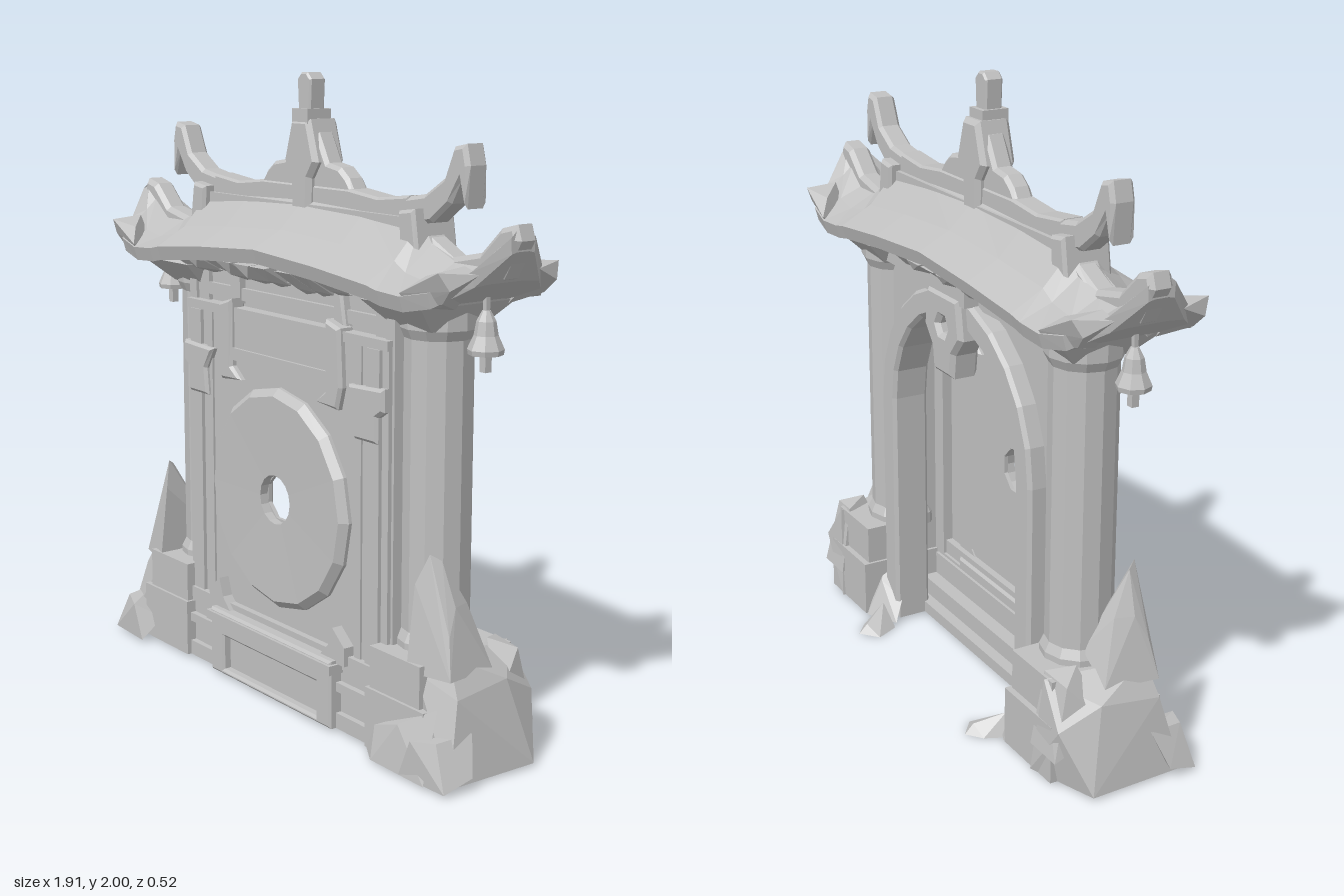
import * as THREE from 'three';
import { ConvexGeometry } from 'three/addons/geometries/ConvexGeometry.js';

const stone = new THREE.MeshStandardMaterial({ color: 0xc0c0c0, flatShading: true, side: THREE.DoubleSide });
stone.name = 'grey stone';

export function createModel() {
  const root = new THREE.Group();
  root.name = 'temple gate';
  let seed = 7;
  const rnd = () => (seed = (seed * 16807) % 2147483647) / 2147483647;

  const add = (name, geo) => {
    const m = new THREE.Mesh(geo, stone);
    m.name = name;
    root.add(m);
    return m;
  };
  // Box given by its limits on each axis
  const box = (name, x0, x1, y0, y1, z0, z1) => {
    const m = add(name, new THREE.BoxGeometry(Math.abs(x1 - x0), y1 - y0, z1 - z0));
    m.position.set((x0 + x1) / 2, (y0 + y1) / 2, (z0 + z1) / 2);
    return m;
  };
  // Front-plane outline extruded from z0 to z1, with optional chamfer
  const ext = (name, pts, z0, z1, bevel = 0, holes = []) => {
    const v = p => p.map(([x, y]) => new THREE.Vector2(x, y));
    const shape = new THREE.Shape(v(pts));
    holes.forEach(h => shape.holes.push(new THREE.Path(v(h))));
    const g = new THREE.ExtrudeGeometry(shape, {
      depth: z1 - z0 - 2 * bevel, bevelEnabled: bevel > 0, bevelSegments: 1,
      bevelThickness: bevel, bevelSize: bevel, bevelOffset: -bevel, steps: 1,
    });
    g.translate(0, 0, z0 + bevel);
    return add(name, g);
  };
  // Faceted convex block; faces lying on the ground are left open
  const hull = (name, pts) => {
    const p = new ConvexGeometry(pts.map(q => new THREE.Vector3(...q))).attributes.position.array;
    const keep = [];
    for (let i = 0; i < p.length; i += 9)
      if (Math.max(p[i + 1], p[i + 4], p[i + 7]) > 0.015) keep.push(...p.slice(i, i + 9));
    const g = new THREE.BufferGeometry();
    g.setAttribute('position', new THREE.Float32BufferAttribute(keep, 3));
    g.computeVertexNormals();
    return add(name, g);
  };
  const lathe = (name, pts, sides) => add(name, new THREE.LatheGeometry(pts.map(p => new THREE.Vector2(...p)), sides));
  const ring = (cx, cy, r, n, a0 = 0) => Array.from({ length: n }, (_, i) => {
    const a = a0 + i / n * Math.PI * 2;
    return [cx + r * Math.cos(a), cy + r * Math.sin(a)];
  });
  const rect = (x, y0, y1) => [[-x, y0], [x, y0], [x, y1], [-x, y1]];
  const mirror = fn => [1, -1].forEach(fn);

  // Thin front wall and round door disc, pierced by one hole
  ext('wall', rect(0.53, 0.01, 1.24), 0.135, 0.148, 0, [ring(0, 0.67, 0.08, 8, Math.PI / 8)]);
  box('upperWall', -0.53, 0.53, 1.22, 1.4, 0.095, 0.11);
  const disc = lathe('doorDisc', [[0.08, 0.137], [0.36, 0.137], [0.36, 0.16], [0.336, 0.183], [0.08, 0.177],
    [0.08, 0.137]], 16);
  disc.rotation.x = Math.PI / 2;
  disc.position.y = 0.667;

  // Arched opening at the back
  const arch = r => Array.from({ length: 13 }, (_, i) => {
    const t = Math.PI * i / 12;
    return [r * Math.cos(t), 0.84 + r * Math.sin(t)];
  });
  ext('archWall', [[-0.56, 0.01], [-0.56, 1.4], [0.56, 1.4], [0.56, 0.01], [0.46, 0.01],
    ...arch(0.46), [-0.46, 0.01]], -0.05, 0.01);
  ext('archFrame', [[0.49, 0.01], ...arch(0.49), [-0.49, 0.01], [-0.4, 0.01],
    ...arch(0.4).reverse(), [0.4, 0.01]], -0.11, 0.02, 0.012);
  ext('keystone', [[-0.06, 1.06], [0.06, 1.06], [0.07, 1.14], [0.12, 1.2], [0.1, 1.33],
    [-0.1, 1.33], [-0.12, 1.2], [-0.07, 1.14]], -0.14, -0.04, 0.015, [ring(0, 1.22, 0.03, 6)]);
  box('keystoneCap', -0.13, 0.13, 1.31, 1.37, -0.13, -0.02);

  // Base, front step with sunken panel, inner steps
  box('floor', -0.6, 0.6, 0.01, 0.05, 0, 0.16);
  ext('frontStep', rect(0.33, 0.01, 0.23), 0.1, 0.21, 0.008, [rect(0.255, 0.03, 0.145)]);
  box('stepPanel', -0.27, 0.27, 0.02, 0.16, 0.1, 0.18);
  box('stepCap', -0.34, 0.34, 0.19, 0.22, 0.12, 0.22);
  box('innerStepLow', -0.48, 0.48, 0.01, 0.11, 0.04, 0.14);
  box('innerStepHigh', -0.48, 0.48, 0.01, 0.19, 0.09, 0.14);
  box('baseRail', -0.53, 0.53, 0.2, 0.25, 0.11, 0.17);

  // Lintel beams across the front
  box('lintelLow', -0.27, 0.27, 1.08, 1.12, 0.125, 0.165);
  box('lintelPanel', -0.27, 0.27, 1.12, 1.24, 0.125, 0.155);
  box('lintelShelf', -0.53, 0.53, 1.22, 1.25, 0.1, 0.155);
  box('lintelMiddle', -0.53, 0.53, 1.27, 1.31, 0.08, 0.125);
  box('lintelTop', -0.55, 0.55, 1.36, 1.42, -0.1, 0.135);
  box('backBeam', -0.56, 0.56, 1.3, 1.36, -0.08, 0);

  mirror(s => {
    // Side rails, lower panels and plinth
    box('innerStrip', s * 0.38, s * 0.41, 0.25, 1.22, 0.135, 0.155);
    box('sideRail', s * 0.44, s * 0.5, 0.2, 1.22, 0.1, 0.16);
    box('upperRail', s * 0.44, s * 0.5, 1.22, 1.36, 0.08, 0.125);
    box('outerStrip', s * 0.5, s * 0.54, 0.2, 1.36, 0, 0.135);
    box('sidePanel', s * 0.32, s * 0.52, 0.01, 0.2, 0.1, 0.165);
    box('sidePanelTop', s * 0.32, s * 0.52, 0.13, 0.16, 0.1, 0.185);
    box('sidePanelFoot', s * 0.32, s * 0.52, 0.01, 0.06, 0.1, 0.185);
    const block = (name, x0, x1, y1, z0, z1) => hull(name, [x0, x1].flatMap(x => [0.01, y1].flatMap(y =>
      [z0, z1].map(z => [s * x, y, z]))));
    block('plinth', 0.5, 0.73, 0.33, -0.17, 0.19);
    block('plinthFoot', 0.49, 0.76, 0.2, -0.19, 0.2);
    ext('stepScroll', [[s * 0.24, 0.22], [s * 0.37, 0.22], [s * 0.37, 0.28], [s * 0.31, 0.33], [s * 0.29, 0.27]], 0.13, 0.185);

    // Pillar with flared capital
    const pillar = lathe('pillar', [[0, 0.31], [0.12, 0.31], [0.12, 0.35], [0.105, 0.38], [0.105, 1.26],
      [0.12, 1.29], [0.12, 1.42], [0, 1.42]], 12);
    pillar.position.set(s * 0.59, 0, 0.01);
    hull('capital', [[0.5, 1.29, -0.08], [0.67, 1.29, -0.08], [0.5, 1.29, 0.11], [0.67, 1.29, 0.11],
      [0.46, 1.37, -0.16], [0.73, 1.37, -0.16], [0.46, 1.37, 0.2], [0.73, 1.37, 0.2], [0.48, 1.41, -0.12],
      [0.74, 1.41, 0.14]].map(([x, y, z]) => [s * x, y, z]));

    // Hanging brackets under the lintel
    ext('bracketLarge', [[s * 0.25, 1.28], [s * 0.25, 1.06], [s * 0.2, 1.02], [s * 0.31, 1.01], [s * 0.33, 1.08],
      [s * 0.32, 1.26]], 0.11, 0.172, 0.01);
    ext('bracketStem', [[s * 0.25, 1.26], [s * 0.31, 1.26], [s * 0.29, 1.37], [s * 0.25, 1.37]], 0.09, 0.14, 0.008);
    ext('bracketSmall', [[s * 0.36, 1.1], [s * 0.4, 1.03], [s * 0.39, 0.94], [s * 0.5, 0.94], [s * 0.5, 1.02],
      [s * 0.53, 1.04], [s * 0.53, 1.11]], 0.1, 0.172, 0.01);

    // Ridge horn, gable block and slim ridge along the roof end
    ext('ridgeHorn', [[s * 0.45, 1.65], [s * 0.57, 1.67], [s * 0.65, 1.72], [s * 0.69, 1.81], [s * 0.74, 1.82],
      [s * 0.755, 1.76], [s * 0.745, 1.64], [s * 0.72, 1.72], [s * 0.68, 1.65], [s * 0.6, 1.59], [s * 0.45, 1.57]],
      -0.02, 0.06, 0.012);
    ext('eaveHorn', [[s * 0.56, 1.56], [s * 0.68, 1.5], [s * 0.8, 1.525], [s * 0.88, 1.6], [s * 0.94, 1.615],
      [s * 0.955, 1.57], [s * 0.89, 1.46], [s * 0.78, 1.4], [s * 0.68, 1.4], [s * 0.56, 1.44]], -0.025, 0.055, 0.015);
    ext('gableBlock', [[s * 0.51, 1.5], [s * 0.5, 1.62], [s * 0.57, 1.63], [s * 0.59, 1.5]], -0.06, 0.1, 0.01);

    // Blunt upturned roof corners
    mirror(t => hull('roofCorner', [[0.7, 1.42, 0.235], [0.72, 1.38, 0.21], [0.76, 1.47, 0.19], [0.85, 1.49, 0.225],
      [0.87, 1.44, 0.2], [0.83, 1.4, 0.19], [0.89, 1.48, 0.11], [0.78, 1.37, 0.1], [0.84, 1.5, 0.12]]
      .map(([x, y, z]) => [s * x, y, 0.02 + t * z])));

    // Bell hung from the eave end
    const bell = lathe('bell', [[0, 0.01], [0.05, 0.005], [0.053, 0.02], [0.035, 0.06], [0.028, 0.1], [0.012, 0.13],
      [0, 0.13]], 8);
    bell.position.set(s * 0.81, 1.235, 0.03);
    box('bellClapper', s * 0.81 - 0.012, s * 0.81 + 0.012, 1.19, 1.24, 0.018, 0.042);
    box('bellHanger', s * 0.81 - 0.007, s * 0.81 + 0.007, 1.35, 1.42, 0.023, 0.037);

    // Rocks heaped around the plinth
    const rock = (...pts) => hull('rock', pts.map(([x, y, z]) => [s * x, y, z]));
    rock([0.66, 0.01, 0.15], [0.88, 0.01, 0.2], [0.89, 0.01, -0.12], [0.66, 0.01, -0.2], [0.84, 0.25, 0.14],
      [0.83, 0.27, -0.06], [0.78, 0.36, 0.12], [0.7, 0.33, -0.18], [0.8, 0.2, -0.19], [0.69, 0.3, 0.17]);
    rock([0.67, 0.3, 0.19], [0.82, 0.3, 0.15], [0.8, 0.3, -0.03], [0.7, 0.65, 0.13], [0.72, 0.63, 0.1],
      [0.67, 0.56, 0.16], [0.77, 0.5, 0.09], [0.75, 0.5, 0.03], [0.79, 0.42, 0.13], [0.67, 0.38, -0.03]);
    rock([0.71, 0.01, 0.25], [0.9, 0.01, 0.24], [0.91, 0.04, 0.14], [0.84, 0.14, 0.22], [0.76, 0.13, 0.25],
      [0.86, 0.15, 0.1], [0.7, 0.08, 0.17]);
    rock([0.67, 0.2, -0.02], [0.83, 0.2, -0.03], [0.72, 0.36, -0.08], [0.78, 0.33, -0.15], [0.67, 0.34, -0.16],
      [0.8, 0.1, -0.2], [0.66, 0.1, -0.2]);
    rock([0.37, 0.01, -0.13], [0.48, 0.01, -0.19], [0.56, 0.01, -0.12], [0.48, 0.13, -0.13], [0.4, 0.08, -0.09],
      [0.52, 0.18, -0.1]);
    rock([0.32, 0, -0.22], [0.38, 0, -0.27], [0.43, 0, -0.23], [0.48, 0, -0.12], [0.36, 0, -0.14], [0.38, 0.03, -0.24],
      [0.43, 0.07, -0.15]);
  });
  // Extra rocks at the front left corner
  hull('rock', [[0.5, 0.01, 0.2], [0.58, 0.01, 0.25], [0.82, 0.01, 0.25], [0.55, 0.1, 0.21], [0.68, 0.15, 0.23],
    [0.8, 0.22, 0.18], [0.74, 0.2, 0.16], [0.6, 0.05, 0.16]]);

  // Roof lofted along x: [x, ridge height, eave height, half depth]
  const half = [[0, 1.62, 1.47, 0.235], [0.3, 1.61, 1.45, 0.235], [0.55, 1.59, 1.425, 0.235],
    [0.6, 1.53, 1.415, 0.235], [0.7, 1.49, 1.41, 0.235], [0.8, 1.49, 1.43, 0.22], [0.88, 1.55, 1.49, 0.13],
    [0.94, 1.6, 1.58, 0.045]];
  const sections = [...half.slice(1).reverse().map(([x, ...r]) => [-x, ...r]), ...half];
  const pos = [], idx = [], N = 10;
  sections.forEach(([x, yr, ye, d]) => {
    const side = [[Math.min(0.03, d * 0.5), yr], [d * 0.55, ye + (yr - ye) * 0.36], [d, ye], [d * 0.94, ye - 0.045],
      [d * 0.5, ye - 0.04]];
    side.forEach(([z, y]) => pos.push(x, y, 0.02 + z));
    side.reverse().forEach(([z, y]) => pos.push(x, y, 0.02 - z));
  });
  for (let i = 0; i < sections.length - 1; i++) for (let j = 0; j < N; j++) {
    const a = i * N + j, b = i * N + (j + 1) % N;
    idx.push(a, b, b + N, a, b + N, a + N);
  }
  const last = (sections.length - 1) * N;
  for (let j = 1; j < N - 1; j++) idx.push(0, j + 1, j, last, last + j, last + j + 1);
  const roof = new THREE.BufferGeometry();
  roof.setAttribute('position', new THREE.Float32BufferAttribute(pos, 3));
  roof.setIndex(idx);
  roof.computeVertexNormals();
  add('roof', roof);

  // Ridge beam with stepped crest, centre ornament and finial
  ext('ridge', [[-0.5, 1.57], [0.5, 1.57], [0.5, 1.66], [0.36, 1.645], [0.22, 1.66], [-0.22, 1.66], [-0.36, 1.645],
    [-0.5, 1.66]], -0.02, 0.06, 0.008);
  box('ridgeFoot', -0.52, 0.52, 1.54, 1.6, -0.035, 0.075);
  ext('crest', [[-0.25, 1.63], [0.25, 1.63], [0.21, 1.69], [0.17, 1.72], [0.11, 1.73], [0.06, 1.82], [-0.06, 1.82],
    [-0.11, 1.73], [-0.17, 1.72], [-0.21, 1.69]], -0.015, 0.055, 0.012);
  ext('centreOrnament', [[-0.045, 1.57], [0.045, 1.57], [0.05, 1.68], [0.085, 1.73], [0.045, 1.86], [-0.045, 1.86],
    [-0.085, 1.73], [-0.05, 1.68]], -0.04, 0.08, 0.015);
  box('finialNeck', -0.04, 0.04, 1.84, 1.89, -0.015, 0.075);
  ext('finial', [[-0.028, 1.86], [0.028, 1.86], [0.035, 1.98], [0.015, 2], [-0.015, 2], [-0.035, 1.98]], 0, 0.06, 0.006);

  // Rough bracket blocks below the eaves
  for (let i = 0; i < 15; i++) mirror(t => {
    const x = -0.7 + i * 0.1 + (rnd() - 0.5) * 0.04, h = 1.36 + rnd() * 0.03, z = 0.15 + rnd() * 0.05;
    hull('eaveBracket', [[x - 0.04, 1.42, 0.02 + t * 0.08], [x + 0.04, 1.42, 0.02 + t * 0.08],
      [x - 0.04, 1.41, 0.02 + t * 0.21], [x + 0.04, 1.41, 0.02 + t * 0.21],
      [x - 0.02, h - 0.03, 0.02 + t * 0.1], [x + 0.03, h - 0.02, 0.02 + t * 0.1], [x + 0.02, h, 0.02 + t * z]]);
  });
  return root;
}
